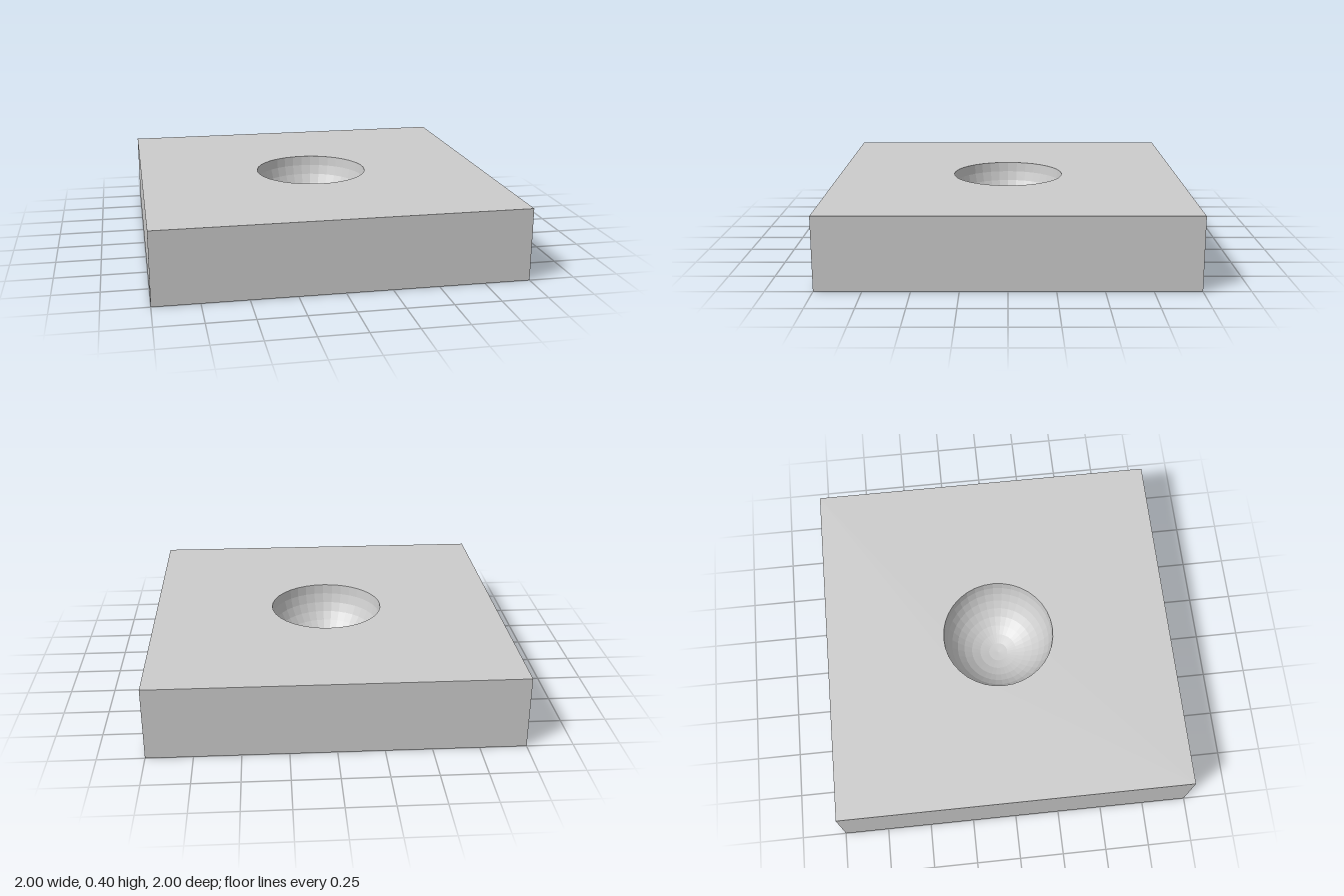
import * as THREE from 'three';

const SIZE = 2, HEIGHT = 0.4, RADIUS = 0.32, SEGMENTS = 36, RINGS = 9;

export function createModel() {
  const group = new THREE.Group();
  group.name = 'slabWithBowl';
  const material = new THREE.MeshStandardMaterial({ color: 0xcccccc, flatShading: true });

  const add = (name, geometry) => {
    const mesh = new THREE.Mesh(geometry, material);
    mesh.name = name;
    group.add(mesh);
    return mesh;
  };

  // Slab walls and underside: a box without its top face
  const box = new THREE.BoxGeometry(SIZE, HEIGHT, SIZE);
  const index = Array.from(box.index.array);
  index.splice(12, 6);
  box.setIndex(index);
  box.clearGroups();
  add('slabSides', box).position.y = HEIGHT / 2;

  // Top face with a round opening
  const h = SIZE / 2;
  const square = new THREE.Shape([[-h, -h], [h, -h], [h, h], [-h, h]].map(([x, y]) => new THREE.Vector2(x, y)));
  const rim = [];
  for (let i = 0; i < SEGMENTS; i++) {
    const a = (-i / SEGMENTS) * Math.PI * 2;
    rim.push(new THREE.Vector2(Math.cos(a) * RADIUS, Math.sin(a) * RADIUS));
  }
  square.holes.push(new THREE.Path(rim));
  const top = new THREE.ShapeGeometry(square).rotateX(-Math.PI / 2);
  add('slabTop', top).position.y = HEIGHT;

  // Hemispherical bowl, mirrored so that its faces look inward
  const bowl = new THREE.SphereGeometry(RADIUS, SEGMENTS, RINGS, 0, Math.PI * 2, Math.PI / 2, Math.PI / 2)
    .scale(-1, 1, 1).toNonIndexed();
  bowl.computeVertexNormals();
  add('bowl', bowl).position.y = HEIGHT;

  return group;
}
